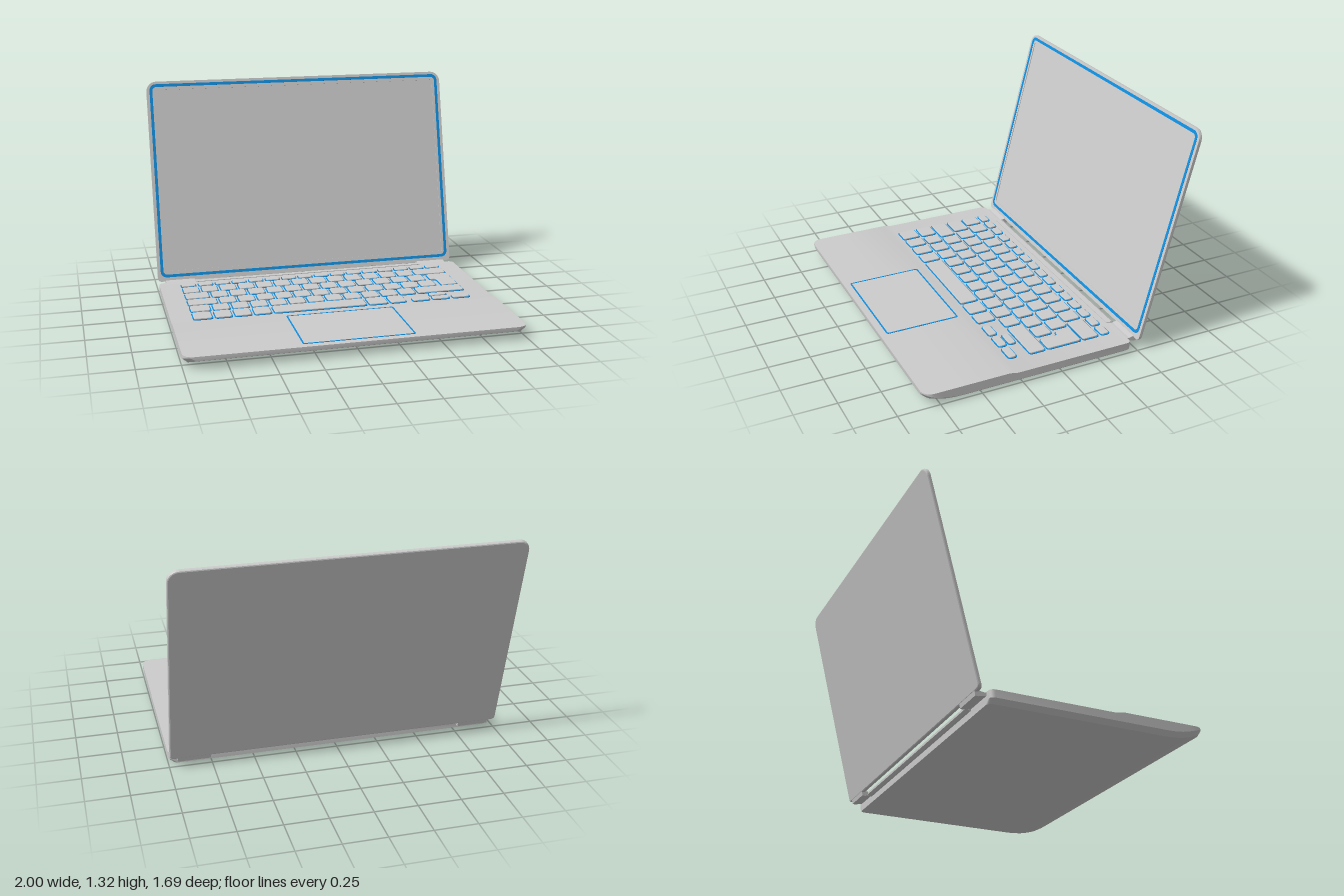
import * as THREE from 'three';
import { toCreasedNormals } from 'three/addons/utils/BufferGeometryUtils.js';

const grey = new THREE.MeshStandardMaterial({ color: 0xcccccc });
const blue = new THREE.MeshStandardMaterial({ color: 0x0f8fe0 });

function add(parent, name, geometry, material = grey) {
  const mesh = new THREE.Mesh(geometry, material);
  mesh.name = name;
  parent.add(mesh);
  return mesh;
}

// Polygon with rounded corners; radii may be one number or one per corner
function rounded(points, radii, Type = THREE.Shape) {
  const path = new Type();
  const n = points.length;
  points.forEach(([x, y], i) => {
    const p = new THREE.Vector2(x, y);
    const r = Array.isArray(radii) ? radii[i] : radii;
    const toward = (q) => new THREE.Vector2(...q).sub(p).setLength(r).add(p);
    const a = toward(points[(i + n - 1) % n]);
    const b = toward(points[(i + 1) % n]);
    if (i === 0) path.moveTo(a.x, a.y); else path.lineTo(a.x, a.y);
    path.bezierCurveTo(a.x + (x - a.x) * 0.55, a.y + (y - a.y) * 0.55,
      b.x + (x - b.x) * 0.55, b.y + (y - b.y) * 0.55, b.x, b.y);
  });
  path.closePath();
  return path;
}

const rect = (x0, y0, x1, y1) => [[x0, y0], [x1, y0], [x1, y1], [x0, y1]];

function frame(outer, outerRadius, inner, innerRadius) {
  const shape = rounded(outer, outerRadius);
  shape.holes.push(rounded(inner, innerRadius, THREE.Path));
  return shape;
}

function slab(shape, depth, bevel = 0, curveSegments = 4) {
  const geometry = new THREE.ExtrudeGeometry(shape, {
    depth: depth - bevel, curveSegments, bevelEnabled: bevel > 0,
    bevelThickness: bevel, bevelSize: bevel, bevelOffset: -bevel, bevelSegments: 2,
  });
  return geometry;
}

// Shape drawn in (x, -z), lying flat with its underside at y
const flat = (shape, y, depth, bevel = 0) =>
  slab(shape, depth, bevel, 3).rotateX(-Math.PI / 2).translate(0, y, 0);

// Base lofted front to back, with a raised palm rest and a belly that curves up at the front
function baseGeometry() {
  const back = -0.455, front = 0.845, rb = 0.03, rf = 0.06;
  const arc = [0, 0.1, 0.2, 0.4, 0.6, 0.8, 1].map((t) => 1 - Math.cos(t * Math.PI / 2));
  const stations = [
    ...arc.map((d) => back + rb * d), 0.28, 0.33, 0.6, 0.65, 0.7, 0.74,
    ...arc.map((d) => front - rf * d).reverse(),
  ];
  const inset = (d, r) => (d < r ? r - Math.sqrt(Math.max(0, r * r - (r - d) ** 2)) : 0);
  const positions = [], index = [], n = 6;
  stations.forEach((z, i) => {
    const w = 1 - inset(z - back, rb) - inset(front - z, rf);
    const top = 0.07 + 0.01 * THREE.MathUtils.clamp((z - 0.28) / 0.05, 0, 1);
    const low = 0.055 * Math.max(0, (z - 0.6) / 0.245) ** 2.2;
    const mid = Math.min(low + 0.025, top - 0.008);
    for (const [x, y] of [[w, top], [-w, top], [-w, mid], [0.03 - w, low], [w - 0.03, low], [w, mid]])
      positions.push(x, y, z);
    if (i === 0) return;
    for (let j = 0; j < n; j++) {
      const a = (i - 1) * n + j, b = (i - 1) * n + (j + 1) % n;
      index.push(a, b, b + n, a, b + n, a + n);
    }
  });
  const last = (stations.length - 1) * n;
  for (let j = 1; j < n - 1; j++) index.push(0, j + 1, j, last, last + j, last + j + 1);
  const geometry = new THREE.BufferGeometry();
  geometry.setAttribute('position', new THREE.Float32BufferAttribute(positions, 3));
  geometry.setIndex(index);
  return toCreasedNormals(geometry, 0.45);
}

function buildKeyboard() {
  const keyboard = new THREE.Group();
  keyboard.name = 'keyboard';
  const grow = (points, d) => {
    // Push each corner outward along both of its edges' normals
    const n = points.length;
    return points.map(([x, y], i) => {
      const [px, py] = points[(i + n - 1) % n], [qx, qy] = points[(i + 1) % n];
      return [x + d * (Math.sign(y - py) + Math.sign(qy - y)), y - d * (Math.sign(x - px) + Math.sign(qx - x))];
    });
  };
  const key = (name, points) => {
    add(keyboard, name + 'Glow', flat(rounded(grow(points, 0.006), 0.018), 0.066, 0.008), blue);
    add(keyboard, name, flat(rounded(points, 0.014), 0.07, 0.0105, 0.003));
  };
  const box = (name, x0, x1, z0, z1) => key(name, rect(x0, -z1, x1, -z0));

  const left = -0.875, right = 0.875, gap = 0.011, pitch = 0.1176;
  const rows = [
    { z: [-0.385, -0.335], widths: Array(16).fill(1.75 / 16) },
    { z: [-0.312, -0.212], widths: [...Array(13).fill(pitch), 1.75 - 13 * pitch] },
    { z: [-0.195, -0.098], widths: [0.164, ...Array(12).fill(pitch)] },
    { z: [-0.078, 0.02], widths: [0.197, ...Array(12).fill(pitch)] },
    { z: [0.038, 0.135], widths: [0.138, ...Array(11).fill(pitch), 1.75 - 0.138 - 11 * pitch] },
    { z: [0.155, 0.265], widths: [0.13, 0.118, 0.118, 0.12, 0.59, 0.135, 0.118] },
  ];
  for (const { z, widths } of rows) {
    let x = left;
    for (const w of widths) {
      box('key', x + gap, x + w - gap, ...z);
      x += w;
    }
  }
  // Stepped return key spanning two rows
  key('returnKey', [[0.76, -0.02], [right - gap, -0.02], [right - gap, 0.195],
    [0.725, 0.195], [0.725, 0.098], [0.76, 0.098]]);
  // Arrow keys
  for (const x of [0.49, 0.62, 0.75]) box('arrowKey', x, x + 0.105, 0.217, 0.265);
  box('arrowKey', 0.62, 0.725, 0.158, 0.2);
  return keyboard;
}

function buildLid() {
  const lid = new THREE.Group();
  lid.name = 'lid';
  const outline = rect(-1, 0, 1, 1.3), corners = [0.025, 0.025, 0.065, 0.065];
  const screen = rect(-0.945, 0.067, 0.945, 1.245);

  // Back shell, bevelled at the rear only (the front bevel is cut off by a squeeze)
  const shell = slab(rounded(outline, corners), 0.018, 0.008, 8).translate(0, 0, -0.014);
  const p = shell.attributes.position;
  for (let i = 0; i < p.count; i++) if (p.getZ(i) > -0.006) p.setZ(i, -0.005);
  add(lid, 'lidShell', shell);

  add(lid, 'screenBezel', slab(frame(outline, corners, screen, 0.004), 0.006, 0, 8).translate(0, 0, -0.006));
  add(lid, 'screen', new THREE.PlaneGeometry(1.89, 1.178).translate(0, 0.656, -0.0035));
  add(lid, 'screenSeal', slab(frame(rect(-0.98, 0.026, 0.98, 1.283), 0.04,
    rect(-0.962, 0.044, 0.962, 1.265), 0.025), 0.003, 0, 6).translate(0, 0, -0.001), blue);

  lid.position.set(0, 0.065, -0.5);
  lid.rotation.x = -0.2524;
  return lid;
}

// Side profile in (z, y) extruded along x between two positions
function bar(profile, x0, x1) {
  const shape = new THREE.Shape(profile.map(([z, y]) => new THREE.Vector2(-z, y)));
  return new THREE.ExtrudeGeometry(shape, { depth: x1 - x0, bevelEnabled: false })
    .rotateY(Math.PI / 2).translate(x0, 0, 0);
}

export function createModel() {
  const model = new THREE.Group();
  model.name = 'laptop';

  add(model, 'base', baseGeometry());
  model.add(buildKeyboard());

  // Trackpad with its outline
  add(model, 'trackpadOutline', flat(frame(rect(-0.33, -0.803, 0.33, -0.347), 0.012,
    rect(-0.321, -0.794, 0.321, -0.356), 0.008), 0.076, 0.006), blue);
  add(model, 'trackpad', flat(rounded(rect(-0.321, -0.794, 0.321, -0.356), 0.008), 0.076, 0.005));

  // Hinge: a long bar on the base and two arms that reach the lid
  const hinge = new THREE.Group();
  hinge.name = 'hinge';
  add(hinge, 'hingeBar', bar([[-0.43, 0.04], [-0.43, 0.074], [-0.465, 0.074], [-0.482, 0.064],
    [-0.482, 0.05], [-0.465, 0.04]], -0.76, 0.76));
  const arm = [[-0.44, 0.05], [-0.44, 0.068], [-0.47, 0.066], [-0.5, 0.072],
    [-0.522, 0.066], [-0.516, 0.04], [-0.5, 0.038], [-0.47, 0.046]];
  for (const [x0, x1] of [[-0.95, -0.76], [0.76, 0.95]]) add(hinge, 'hingeArm', bar(arm, x0, x1));
  model.add(hinge);

  model.add(buildLid());
  return model;
}
